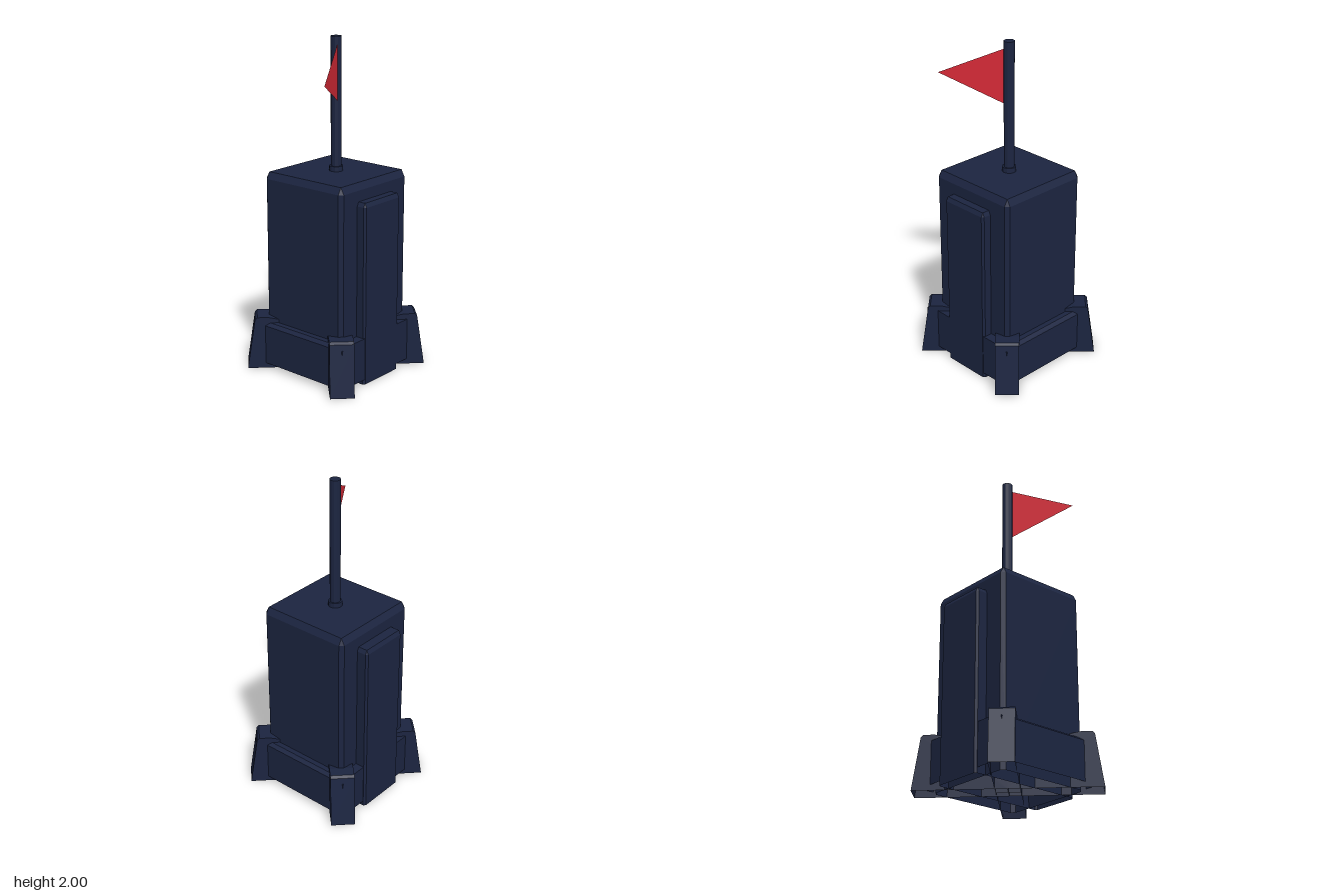
import * as THREE from 'three';
import { ConvexGeometry } from 'three/addons/geometries/ConvexGeometry.js';

export function createModel() {
  const model = new THREE.Group();
  const navy = new THREE.MeshStandardMaterial({ color: 0x1c2541, flatShading: true, side: THREE.DoubleSide });
  navy.name = 'dark navy';
  const red = new THREE.MeshStandardMaterial({ color: 0xdc2c39, side: THREE.DoubleSide });
  red.name = 'flag red';

  function add(name, geometry, material = navy) {
    const mesh = new THREE.Mesh(geometry, material);
    mesh.name = name;
    model.add(mesh);
    return mesh;
  }

  // Hollow shell: drops the triangles lying in the lowest plane
  function openBottom(geometry) {
    const p = geometry.attributes.position;
    geometry.computeBoundingBox();
    const limit = geometry.boundingBox.min.y + 1e-4;
    const kept = [];
    for (let i = 0; i < p.count; i += 3) {
      const corners = [i, i + 1, i + 2];
      if (corners.every(k => p.getY(k) < limit)) continue;
      for (const k of corners) kept.push(p.getX(k), p.getY(k), p.getZ(k));
    }
    const shell = new THREE.BufferGeometry();
    shell.setAttribute('position', new THREE.Float32BufferAttribute(kept, 3));
    shell.computeVertexNormals();
    return shell;
  }

  // Block standing on y = 0 with cut uprights and a cut top rim, open below
  function chamferBlock(w, h, d, c, cy) {
    const pts = [];
    const x = w / 2, z = d / 2;
    for (const sx of [-1, 1]) for (const sz of [-1, 1]) {
      for (const y of [0, h - cy]) {
        pts.push(new THREE.Vector3(sx * x, y, sz * (z - c)), new THREE.Vector3(sx * (x - c), y, sz * z));
      }
      pts.push(new THREE.Vector3(sx * (x - c), h, sz * (z - c)));
    }
    return openBottom(new ConvexGeometry(pts));
  }

  // Side profile pushed through to a given depth, open below
  function prism(points, depth) {
    const shape = new THREE.Shape(points.map(([x, y]) => new THREE.Vector2(x, y)));
    const geometry = new THREE.ExtrudeGeometry(shape, { depth, bevelEnabled: false });
    geometry.translate(0, 0, -depth / 2);
    return openBottom(geometry);
  }

  // Tower block
  add('tower', chamferBlock(0.594, 1.21, 0.594, 0.022, 0.04)).position.x = 0.001;

  // Raised panel running through front and back
  add('frontAndBackPanel', chamferBlock(0.318, 1.105, 0.724, 0.012, 0.025)).position.set(0.002, 0, -0.006);

  // Wide base block with sloped shoulders on the left and right
  add('base', prism([
    [-0.353, 0.032], [0.353, 0.032], [0.353, 0.272], [0.331, 0.29], [-0.331, 0.29], [-0.353, 0.272]
  ], 0.708));

  // Diagonal buttress feet, one per corner, meeting in the middle
  const footGeometry = prism([
    [0, 0], [0.537, 0], [0.49, 0.312], [0.476, 0.325], [0.41, 0.325], [0.34, 0.31], [0, 0.31]
  ], 0.142);
  for (let i = 0; i < 4; i++) {
    add('foot' + (i + 1), footGeometry).rotation.y = Math.PI / 4 + i * Math.PI / 2;
  }

  // Flagpole and its collar
  const px = 0.007, pz = -0.002;
  add('poleCollar', new THREE.CylinderGeometry(0.042, 0.042, 0.05, 12)).position.set(px, 1.215, pz);
  add('flagpole', new THREE.CylinderGeometry(0.032, 0.032, 0.82, 12)).position.set(px, 1.59, pz);

  // Triangular pennant, swung slightly forward
  const flag = new THREE.BufferGeometry();
  flag.setAttribute('position', new THREE.Float32BufferAttribute([
    -0.006, 1.957, 0.02, -0.347, 1.78, 0.22, -0.006, 1.628, 0.02
  ], 3));
  flag.computeVertexNormals();
  add('flag', flag, red);

  return model;
}
